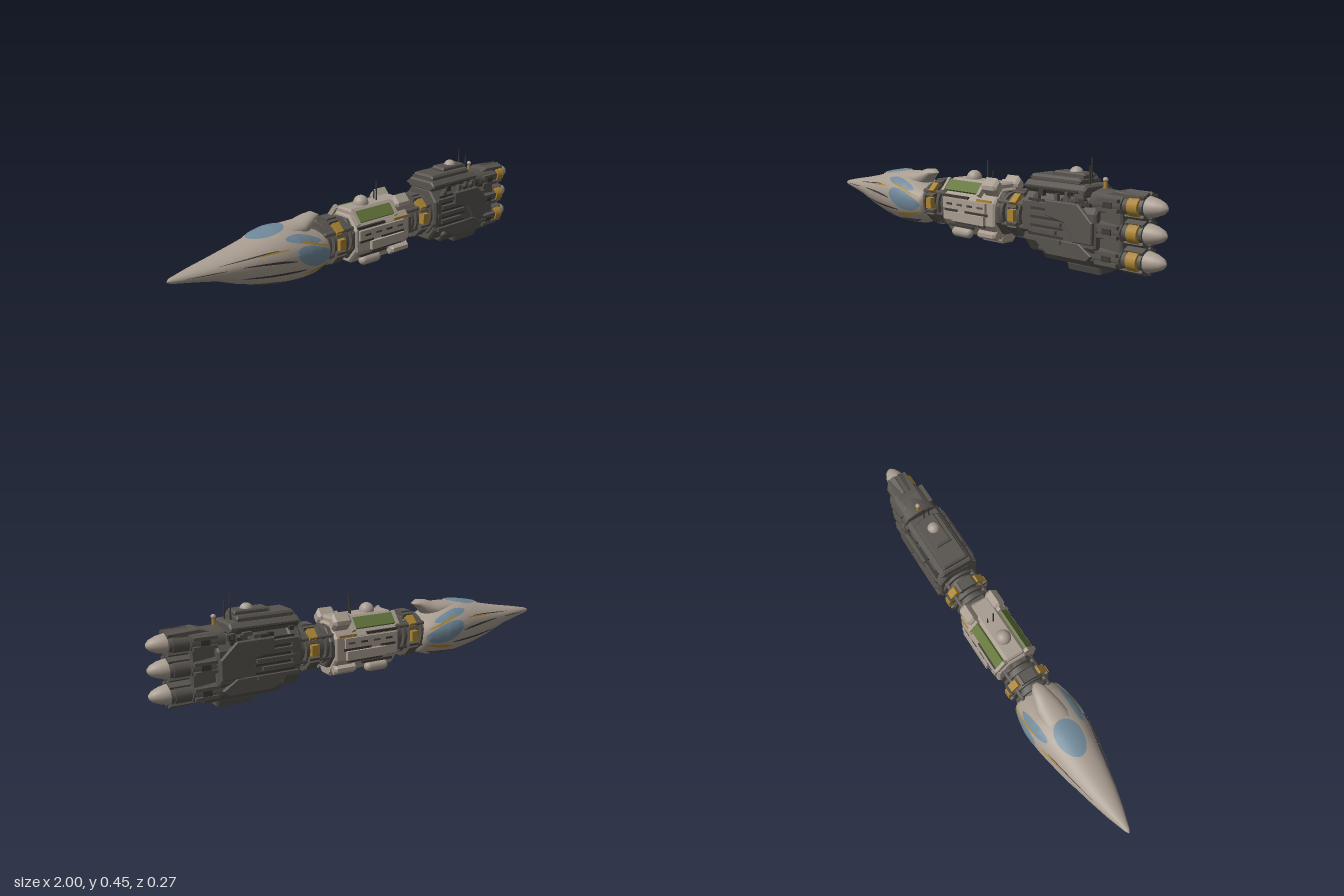
import * as THREE from 'three';

const paint = (name, color, side = THREE.FrontSide) => {
  const m = new THREE.MeshStandardMaterial({ color, side });
  m.name = name;
  return m;
};

export function createModel() {
  const ship = new THREE.Group();
  ship.name = 'spaceship';
  const cream = paint('creamHull', 0xa89c90, THREE.DoubleSide), dark = paint('darkMetal', 0x57534e);
  const black = paint('grooveBlack', 0x3d3a36, THREE.DoubleSide), gold = paint('goldTrim', 0xa88232, THREE.DoubleSide);
  const blue = paint('blueGlass', 0x6f8798, THREE.DoubleSide), green = paint('gardenGreen', 0x64763c);

  const section = (name) => {
    const g = new THREE.Group();
    g.name = name;
    ship.add(g);
    return g;
  };
  let group;
  const add = (name, geo, mat) => {
    const m = new THREE.Mesh(geo, mat);
    m.name = name;
    group.add(m);
    return m;
  };
  const box = (name, mat, x, y, z, w, h, d) => add(name, new THREE.BoxGeometry(w, h, d).translate(x, y, z), mat);
  // Oval cylinder lying along x, k = size of the far end relative to the near end
  const drum = (name, mat, x0, x1, y, z, ry, rz, k = 1, n = 24) => add(name,
    new THREE.CylinderGeometry(k, 1, x1 - x0, n).rotateZ(-Math.PI / 2).scale(1, ry, rz).translate((x0 + x1) / 2, y, z), mat);
  // Capsule lying along x
  const pod = (name, mat, x0, x1, y, z, r) => add(name,
    new THREE.CapsuleGeometry(r, x1 - x0 - 2 * r, 6, 14).rotateZ(Math.PI / 2).translate((x0 + x1) / 2, y, z), mat);
  // Chamfered block along x with bevelled ends
  const block = (name, mat, x0, x1, y0, y1, hz, cy, cz, z = 0, b = 0.008) => {
    const s = new THREE.Shape(), w = hz - b, t = y1 - b, l = y0 + b;
    [[w, l + cy], [w, t - cy], [w - cz, t], [cz - w, t], [-w, t - cy], [-w, l + cy], [cz - w, l], [w - cz, l]]
      .forEach(([x, y], i) => (i ? s.lineTo(x, y) : s.moveTo(x, y)));
    const g = new THREE.ExtrudeGeometry(s, { depth: x1 - x0 - 2 * b, bevelSize: b, bevelThickness: b, bevelSegments: 1 });
    return add(name, g.rotateY(Math.PI / 2).translate(x0 + b, 0, z), mat);
  };
  const dome = (name, mat, x, y, z, rx, ry, rz) => add(name, new THREE.SphereGeometry(1, 24, 16).scale(rx, ry, rz).translate(x, y, z), mat);
  const mast = (name, mat, x, y0, y1, z, r) => add(name, new THREE.CylinderGeometry(r * 0.6, r, y1 - y0, 8).translate(x, (y0 + y1) / 2, z), mat);
  // Vertical side plate
  const plate = (name, mat, pts, z, d) => add(name, new THREE.ExtrudeGeometry(
    new THREE.Shape(pts.map(p => new THREE.Vector2(...p))), { depth: d, bevelSize: 0.004, bevelThickness: 0.004, bevelSegments: 1 }).translate(0, 0, z - d / 2), mat);
  const gridGeo = (pos, rows, cols) => {
    const idx = [];
    for (let i = 0; i < rows - 1; i++) for (let j = 0; j < cols; j++) {
      const k = (j + 1) % cols, a = i * cols, b = a + cols;
      idx.push(a + j, b + j, b + k, a + j, b + k, a + k);
    }
    const g = new THREE.BufferGeometry();
    g.setAttribute('position', new THREE.Float32BufferAttribute(pos, 3));
    g.setIndex(idx);
    g.computeVertexNormals();
    return g;
  };
  // Point on a lofted skin; rows are [x, centreY, up, down, halfWidth]
  const skin = (rows, x, a, off = 0) => {
    let i = 0;
    while (i < rows.length - 2 && x > rows[i + 1][0]) i++;
    const t = (x - rows[i][0]) / (rows[i + 1][0] - rows[i][0]);
    const [, c, u, d, w] = rows[i].map((v, k) => v + (rows[i + 1][k] - v) * t);
    const s = Math.sin(a);
    return [x, c + s * ((s > 0 ? u : d) + off), Math.cos(a) * (w + off)];
  };
  const loft = (name, mat, rows) => {
    const pos = [];
    rows.forEach(r => { for (let j = 0; j < 48; j++) pos.push(...skin(rows, r[0], j * Math.PI / 24)); });
    return add(name, gridGeo(pos, rows.length, 48), mat);
  };
  // Thin oval panel that hugs a lofted skin
  const panel = (name, mat, rows, x, a, rx, ra, slope = 0, off = 0.004) => {
    const pos = [];
    for (let k = 0; k <= 8; k++) for (let j = 0; j < 40; j++) {
      const t = j * Math.PI / 20, dx = rx * k / 8 * Math.cos(t);
      pos.push(...skin(rows, x + dx, a + ra * k / 8 * Math.sin(t) + slope * dx, off));
    }
    return add(name, gridGeo(pos, 9, 40), mat);
  };
  const panels = (name, mat, rows, x, a, rx, ra, slope, off) => {
    panel(name, mat, rows, x, a, rx, ra, slope, off);
    panel(name, mat, rows, x, Math.PI - a, rx, ra, -slope, off);
  };

  // Streamlined bow
  group = section('bow');
  const hull = [[-1, 0.2, 0.004, 0.004, 0.004], [-0.985, 0.2, 0.012, 0.012, 0.012], [-0.9, 0.2, 0.029, 0.027, 0.04], [-0.8, 0.2, 0.046, 0.048, 0.067],
    [-0.7, 0.2, 0.066, 0.087, 0.09], [-0.6, 0.2, 0.09, 0.115, 0.109], [-0.52, 0.2, 0.104, 0.13, 0.123], [-0.45, 0.195, 0.108, 0.132, 0.13],
    [-0.4, 0.19, 0.1, 0.128, 0.13], [-0.34, 0.185, 0.083, 0.12, 0.12], [-0.29, 0.18, 0.068, 0.1, 0.106], [-0.27, 0.18, 0.055, 0.07, 0.085], [-0.268, 0.18, 0.001, 0.001, 0.001]];
  loft('bowHull', cream, hull);
  const crest = [[-0.58, 0.28, 0.002, 0.01, 0.01], [-0.5, 0.285, 0.022, 0.03, 0.05], [-0.44, 0.277, 0.034, 0.04, 0.062], [-0.38, 0.275, 0.038, 0.05, 0.058],
    [-0.34, 0.29, 0.036, 0.045, 0.046], [-0.3, 0.31, 0.02, 0.02, 0.032], [-0.27, 0.312, 0.002, 0.002, 0.012]];
  loft('crestFin', cream, crest);
  const top = Math.PI / 2;
  panel('canopyFrame', cream, hull, -0.55, top, 0.1, 0.6, 0, 0.005);
  panel('canopy', blue, hull, -0.55, top, 0.088, 0.5, 0, 0.009);
  panels('sideWindow', blue, hull, -0.38, 0, 0.098, 0.4, -1.4);
  panels('shoulderWindow', blue, hull, -0.42, 0.7, 0.09, 0.2, -0.7);
  panels('goldStripe', gold, hull, -0.37, 0.46, 0.085, 0.05, -1.6, 0.006);
  panels('forwardGoldStripe', gold, hull, -0.58, 0.4, 0.07, 0.035, -0.4, 0.006);
  panels('lowerGoldStripe', gold, hull, -0.36, -0.55, 0.07, 0.07, 1, 0.006);
  panels('upperGroove', black, hull, -0.68, 0.5, 0.13, 0.03, -0.5);
  panels('sideGroove', black, hull, -0.6, 0.0, 0.12, 0.04, -0.8);
  panels('lowerGroove', black, hull, -0.57, -0.5, 0.15, 0.045, 0.3);
  panels('noseGroove', black, hull, -0.86, 0.1, 0.08, 0.04, 0);
  panels('bellyVent', dark, hull, -0.58, -1.05, 0.09, 0.13, 0.5);
  panels('bellyRearVent', dark, hull, -0.38, -0.95, 0.07, 0.12, 0.3);
  panels('sidePlate', cream, hull, -0.6, 0.2, 0.13, 0.1, -0.5, 0.007);

  // Ribbed necks joining the three sections
  const neck = (name, x0, x1, y, r, ringX) => {
    group = section(name);
    drum('neckCore', dark, x0, x1, y, 0, r * 0.78, r * 0.78);
    for (let x = x0 + 0.02; x < x1; x += 0.032) drum('neckRib', dark, x - 0.008, x + 0.008, y, 0, r, r);
    drum('goldBand', gold, ringX - 0.017, ringX + 0.017, y, 0, r * 1.02, r * 1.02);
    for (let i = 0; i < 8; i++) {
      // dark clamps above and underneath, gold ones round the sides
      const plain = i === 0 || (i > 2 && i < 6);
      const clamp = box('bandClamp', plain ? dark : gold, 0, r * 1.06, 0, plain ? 0.05 : 0.034, 0.024, plain ? 0.06 : 0.048);
      clamp.position.set(ringX, y, 0);
      clamp.rotation.x = i * Math.PI / 4;
      const bracket = box('bandBracket', dark, 0, r * 1.04, 0, 0.05, 0.026, 0.014);
      bracket.position.set(ringX, y, 0);
      bracket.rotation.x = (i + 0.5) * Math.PI / 4;
    }
    for (const z of [-1, 1]) for (const s of [-1, 1]) pod('neckPipe', dark, x0, x1, y + s * r * 0.55, z * r * 0.75, 0.011);
  };
  neck('forwardNeck', -0.29, -0.11, 0.185, 0.088, -0.215);
  neck('aftNeck', 0.18, 0.39, 0.19, 0.085, 0.302);

  // Habitat in the middle
  group = section('habitat');
  block('habitatCore', cream, -0.13, 0.2, 0.065, 0.285, 0.094, 0.055, 0.045);
  block('frontCollar', dark, -0.15, -0.11, 0.09, 0.27, 0.085, 0.05, 0.04);
  block('rearCollar', dark, 0.19, 0.225, 0.09, 0.27, 0.085, 0.05, 0.04);
  block('roof', cream, -0.12, 0.19, 0.26, 0.308, 0.055, 0.012, 0.012);
  block('keel', cream, 0.06, 0.2, 0.045, 0.09, 0.05, 0.015, 0.015);
  dome('roofDome', cream, -0.018, 0.31, 0, 0.035, 0.037, 0.035);
  mast('antenna', black, 0.072, 0.3, 0.395, 0.005, 0.004);
  mast('shortAntenna', black, 0.08, 0.3, 0.35, -0.02, 0.004);
  for (const s of [-1, 1]) {
    const garden = box('gardenPanel', green, 0, 0, 0, 0.21, 0.012, 0.054);
    garden.position.set(-0.005, 0.278, s * 0.074);
    garden.rotation.x = s * 0.9;
    for (const x of [-0.118, 0.108]) {
      const frame = box('gardenFrame', cream, 0, 0, 0, 0.016, 0.022, 0.07);
      frame.position.set(x, 0.277, s * 0.074);
      frame.rotation.x = s * 0.9;
    }
    block('roofTank', cream, 0.115, 0.205, 0.255, 0.328, 0.03, 0.02, 0.018, s * 0.066, 0.012);
    pod('lowerTank', cream, -0.085, 0.035, 0.07, s * 0.066, 0.023);
    block('rearLowerTank', cream, 0.09, 0.2, 0.05, 0.115, 0.025, 0.018, 0.016, s * 0.07, 0.01);
    box('sideArmour', cream, 0.02, 0.2, s * 0.097, 0.27, 0.045, 0.016);
    box('lowerArmour', cream, 0.05, 0.145, s * 0.1, 0.2, 0.04, 0.022);
    [[-0.04, 0.233, 0.16], [0.09, 0.17, 0.14], [-0.07, 0.17, 0.08], [0.05, 0.118, 0.18]].forEach(([x, y, w]) =>
      box('sideGroove', black, x, y, s * 0.092, w, 0.011, 0.012));
    for (let i = 0; i < 4; i++) box('window', i % 2 ? dark : black, -0.07 + i * 0.065, 0.2, s * 0.105, 0.035, 0.009, 0.004);
    box('goldMark', gold, 0.14, 0.232, s * 0.096, 0.09, 0.01, 0.006);
    box('bellyGroove', black, -0.02, 0.1, s * 0.08, 0.16, 0.01, 0.012);
  }

  // Dark engineering block
  group = section('engineering');
  block('engineCore', dark, 0.37, 0.74, 0.055, 0.3, 0.092, 0.05, 0.035);
  block('frontBulkhead', dark, 0.365, 0.42, 0.09, 0.31, 0.1, 0.05, 0.04);
  block('upperDeck', dark, 0.365, 0.68, 0.3, 0.348, 0.098, 0.02, 0.025);
  block('deckTop', dark, 0.38, 0.64, 0.34, 0.372, 0.075, 0.012, 0.014);
  block('deckHouse', dark, 0.48, 0.64, 0.365, 0.39, 0.05, 0.008, 0.012);
  block('keelFin', dark, 0.565, 0.735, 0, 0.07, 0.05, 0.02, 0.008);
  block('lowerHull', dark, 0.45, 0.8, 0.03, 0.1, 0.075, 0.025, 0.02);
  dome('deckDome', cream, 0.57, 0.385, 0, 0.028, 0.026, 0.028);
  mast('tallAntenna', black, 0.643, 0.34, 0.452, -0.006, 0.004);
  mast('secondAntenna', black, 0.657, 0.34, 0.424, 0.024, 0.004);
  mast('goldMast', gold, 0.715, 0.28, 0.372, 0, 0.012);
  dome('mastCap', cream, 0.715, 0.37, 0, 0.011, 0.01, 0.011);
  let seed = 7;
  const rand = () => (seed = (seed * 16807) % 2147483647) / 2147483647;
  for (const s of [-1, 1]) {
    plate('buttress', dark, [[0.5, 0.275], [0.66, 0.275], [0.73, 0.21], [0.73, 0.13], [0.64, 0.13], [0.6, 0.2], [0.5, 0.22]], s * 0.096, 0.014);
    plate('lowerSkirt', dark, [[0.42, 0.12], [0.66, 0.12], [0.72, 0.08], [0.7, 0.06], [0.5, 0.06]], s * 0.085, 0.016);
    for (let i = 0; i < 5; i++) {
      box('sideRail', dark, 0.48, 0.115 + i * 0.035, s * 0.097, 0.19 - (i % 2) * 0.05, 0.016, 0.016);
      box('railGroove', black, 0.49, 0.132 + i * 0.035, s * 0.092, 0.18, 0.01, 0.008);
    }
    for (let i = 0; i < 16; i++)
      box('machinery', i % 3 ? dark : black, 0.41 + rand() * 0.29, 0.27 + rand() * 0.035, s * 0.085, 0.012 + rand() * 0.025, 0.012 + rand() * 0.02, 0.018);
    box('deckRail', black, 0.52, 0.324, s * 0.095, 0.27, 0.006, 0.006);
    pod('sidePipe', dark, 0.44, 0.7, 0.075, s * 0.07, 0.018);
  }

  // Three stacked engines
  for (const y of [0.287, 0.185, 0.08]) {
    group = section('engine');
    drum('housing', dark, 0.7, 0.84, y, 0, 0.052, 0.088, 0.88, 8);
    drum('throat', dark, 0.82, 0.908, y, 0, 0.044, 0.063, 1, 20);
    // gold heat shield on the left flank only
    add('heatShield', new THREE.CylinderGeometry(1, 1, 0.046, 20, 1, false, -1.2, 2.4)
      .rotateZ(-Math.PI / 2).scale(1, 0.047, 0.069).translate(0.886, y, 0), gold);
    drum('nozzleRim', dark, 0.904, 0.922, y, 0, 0.044, 0.058, 0.93);
    const cone = [[0.048, 0.9], [0.046, 0.925], [0.039, 0.955], [0.026, 0.983], [0.012, 0.996], [0, 1]].map(p => new THREE.Vector2(...p));
    add('nozzleCone', new THREE.LatheGeometry(cone, 28).rotateZ(-Math.PI / 2).scale(1, 0.88, 0.98).translate(0, y, 0), cream);
    for (const s of [-1, 1]) {
      box('housingVent', black, 0.785, y, s * 0.08, 0.04, 0.024, 0.006);
      box('ventFrame', dark, 0.785, y + 0.019, s * 0.077, 0.1, 0.014, 0.018);
      box('ventFrame', dark, 0.785, y - 0.019, s * 0.077, 0.1, 0.014, 0.018);
      for (const t of [-1, 1]) {
        const claw = box('nozzleClaw', dark, 0, 0, 0, 0.1, 0.012, 0.04);
        claw.position.set(0.875, y + t * 0.042, s * 0.026);
        claw.rotation.x = s * t * 0.45;
      }
    }
  }
  group = section('engineFrame');
  block('engineSpine', dark, 0.7, 0.84, 0.07, 0.3, 0.06, 0.02, 0.02);
  plate('topFin', dark, [[0.74, 0.32], [0.8, 0.335], [0.92, 0.33], [0.9, 0.322], [0.85, 0.31]], 0, 0.09);
  return ship;
}
